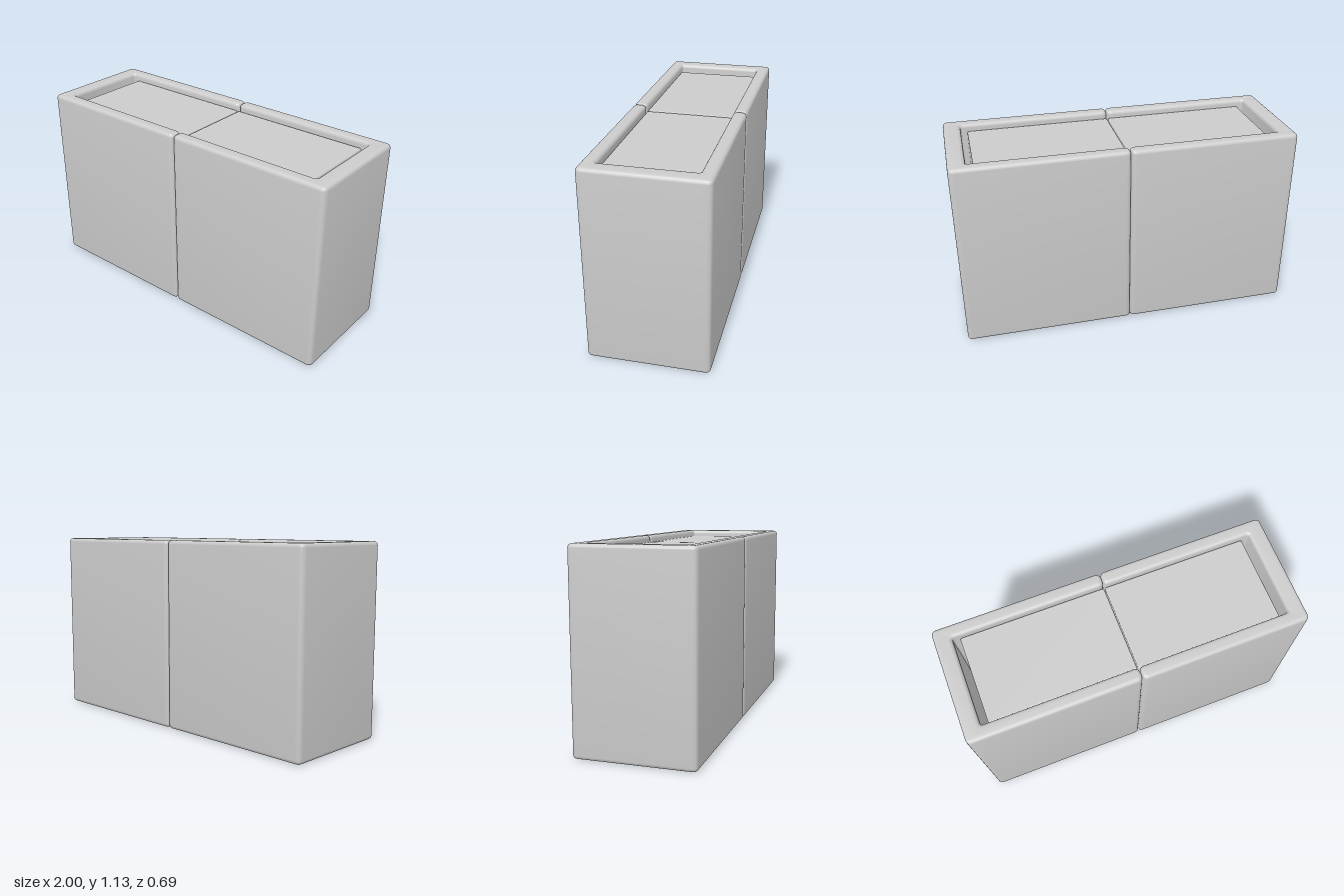
import * as THREE from 'three';
import { toCreasedNormals } from 'three/addons/utils/BufferGeometryUtils.js';
import { RoundedBoxGeometry } from 'three/addons/geometries/RoundedBoxGeometry.js';

const HEIGHT = 1.13, HALF_DEPTH = 0.345, INNER_DEPTH = 0.265, INNER_END = 0.9;
const BEVEL = 0.022;
const FLOOR = 0.1, FILL_TOP = 1.09;

// Closed outline from [x, y, radius] corners, each rounded
function roundedOutline(corners) {
  const shape = new THREE.Shape();
  const n = corners.length;
  corners.forEach(([x, y, r], i) => {
    const p = new THREE.Vector2(x, y);
    const toward = ([cx, cy]) =>
      new THREE.Vector2(cx, cy).sub(p).setLength(r).add(p);
    const a = toward(corners[(i + n - 1) % n]);
    const b = toward(corners[(i + 1) % n]);
    if (i === 0) shape.moveTo(a.x, a.y);
    else shape.lineTo(a.x, a.y);
    shape.quadraticCurveTo(x, y, b.x, b.y);
  });
  shape.closePath();
  return shape;
}

// U-shaped wall of one half, open toward the middle seam
function wallGeometry() {
  const outer = 0.032, inner = 0.015;
  const outline = roundedOutline([
    [0, -HALF_DEPTH, outer], [1, -HALF_DEPTH, outer],
    [1, HALF_DEPTH, outer], [0, HALF_DEPTH, outer],
    [0, INNER_DEPTH, outer], [INNER_END, INNER_DEPTH, inner],
    [INNER_END, -INNER_DEPTH, inner], [0, -INNER_DEPTH, outer],
  ]);
  const geometry = new THREE.ExtrudeGeometry(outline, {
    depth: HEIGHT - 2 * BEVEL,
    bevelThickness: BEVEL,
    bevelSize: BEVEL,
    bevelOffset: -BEVEL,
    bevelSegments: 6,
    curveSegments: 6,
  });
  geometry.rotateX(-Math.PI / 2).translate(0, BEVEL, 0);
  return toCreasedNormals(geometry, 0.35);
}

export function createModel() {
  const model = new THREE.Group();
  model.name = 'twinBox';
  const material = new THREE.MeshStandardMaterial({ color: 0xcccccc });
  const add = (name, geometry, parent = model) => {
    const mesh = new THREE.Mesh(geometry, material);
    mesh.name = name;
    parent.add(mesh);
    return mesh;
  };

  // Two mirrored halves: wall and the block filling it
  const wall = wallGeometry();
  const fillHeight = FILL_TOP - FLOOR + 0.02;
  const fill = new RoundedBoxGeometry(0.857, fillHeight, 0.526, 3, 0.01);
  fill.translate(0.4315, FILL_TOP - fillHeight / 2, 0);
  for (const [side, angle] of [['left', 0], ['right', Math.PI]]) {
    const half = new THREE.Group();
    half.name = side + 'Half';
    half.rotation.y = angle;
    add(side + 'Wall', wall, half);
    add(side + 'Fill', fill, half);
    model.add(half);
  }

  // Floor joining both halves underneath
  const base = new THREE.BoxGeometry(1.9, FLOOR, 0.63);
  add('base', base).position.y = FLOOR / 2;
  return model;
}
